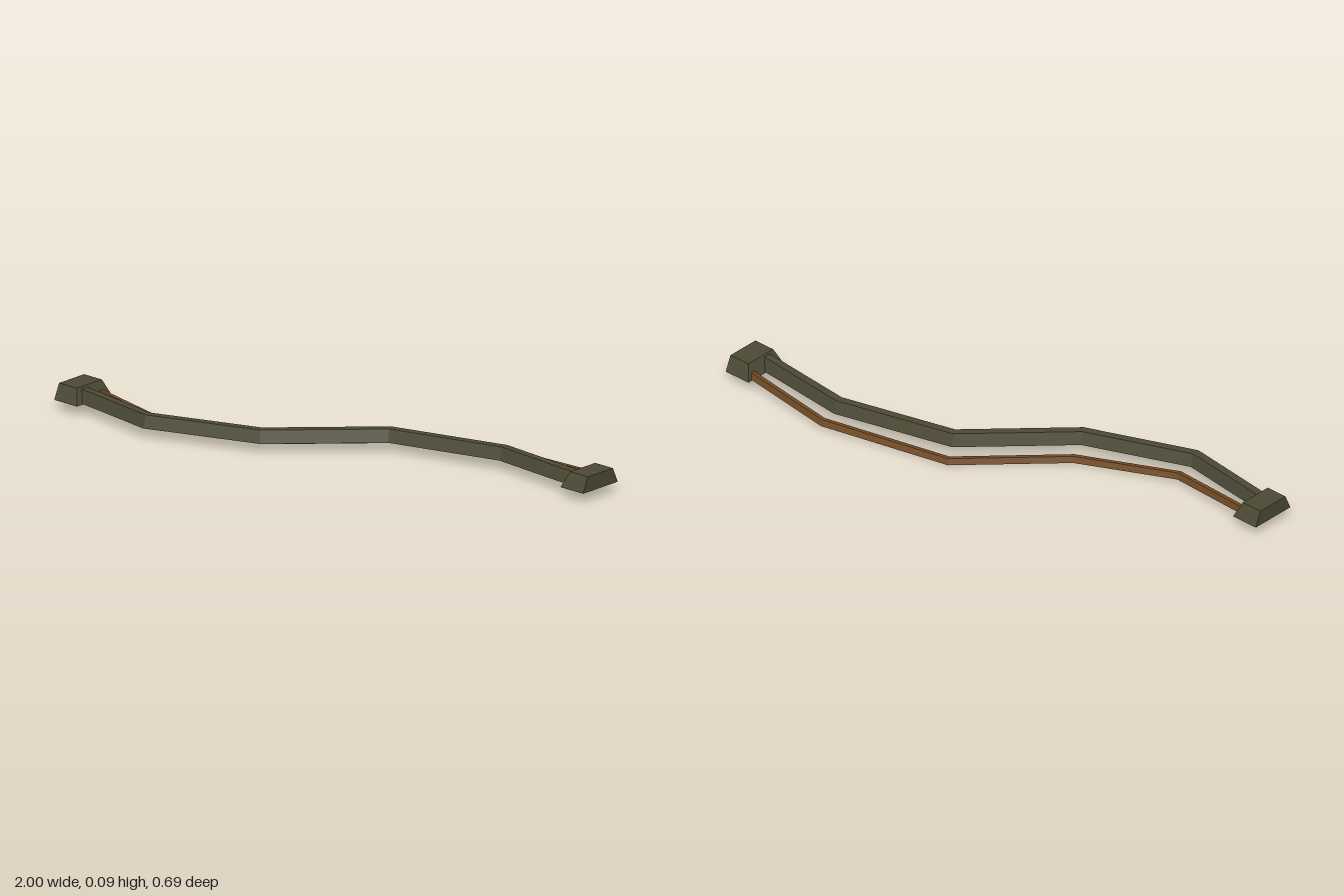
import * as THREE from 'three';

const olive = new THREE.MeshStandardMaterial({ color: 0x4d4b36, side: THREE.DoubleSide });
olive.name = 'olive';
const brown = new THREE.MeshStandardMaterial({ color: 0x734c26, side: THREE.DoubleSide });
brown.name = 'brown';

// Joins cross-section rings of equal length into a flat-shaded strip
function loft(rings, name, material) {
  const pos = [];
  for (let i = 0; i < rings.length - 1; i++) {
    for (let j = 0; j < rings[i].length - 1; j++) {
      const a = rings[i][j], b = rings[i + 1][j], c = rings[i + 1][j + 1], d = rings[i][j + 1];
      for (const p of [a, b, c, a, c, d]) pos.push(...p);
    }
  }
  const geo = new THREE.BufferGeometry();
  geo.setAttribute('position', new THREE.Float32BufferAttribute(pos, 3));
  geo.computeVertexNormals();
  const mesh = new THREE.Mesh(geo, material);
  mesh.name = name;
  return mesh;
}

// Trapezoid channel swept along [x, bottom y, z] points with mitred bends
function channel(path, wide, narrow, height, name, material) {
  const dir = (a, b) => new THREE.Vector2(b[0] - a[0], b[2] - a[2]).normalize();
  const rings = path.map((p, i) => {
    const before = dir(path[Math.max(i - 1, 0)], path[Math.max(i, 1)]);
    const k = Math.min(i, path.length - 2);
    const after = dir(path[k], path[k + 1]);
    const t = before.clone().add(after).normalize();
    const m = 1 / t.dot(after);
    const at = (s, h) => [p[0] - t.y * s * m, p[1] + h, p[2] + t.x * s * m];
    return [at(wide, 0), at(narrow, height), at(-narrow, height), at(-wide, 0)];
  });
  return loft(rings, name, material);
}

// Connector: a bevelled cap, open underneath; side is +1 or -1 along x
function connector(side, z, name) {
  const ring = (x0, x1, w, y) => {
    const pts = [[x0, y, z + w], [x1, y, z + w], [x1, y, z - w], [x0, y, z - w], [x0, y, z + w]];
    return side > 0 ? pts.reverse() : pts;
  };
  const outer = side, y0 = 0.035, y1 = 0.09;
  const low = ring(outer, side * 0.895, 0.087, y0);
  const high = ring(outer, side * 0.918, 0.063, y1);
  const centre = high.map(() => [side * 0.959, y1, z]);
  return loft([high, low].reverse().concat([centre]).map((r) => r.slice().reverse()).reverse(), name, olive);
}

export function createModel() {
  const model = new THREE.Group();

  // Thick cable
  model.add(channel([
    [-0.97, 0.038, 0.262], [-0.575, 0.035, 0.318], [-0.19, 0.032, 0.168],
    [0.125, 0.032, -0.138], [0.55, 0.035, -0.253], [0.97, 0.038, -0.212],
  ], 0.028, 0.014, 0.045, 'thickCable', olive));

  // Thin cable sagging below it
  model.add(channel([
    [-0.97, 0.042, 0.188], [-0.575, 0.015, 0.237], [-0.22, 0, 0.09],
    [0.085, 0, -0.208], [0.55, 0.015, -0.332], [0.97, 0.042, -0.295],
  ], 0.014, 0.007, 0.022, 'thinCable', brown));

  // End connectors
  model.add(connector(-1, 0.242, 'rightConnector'));
  model.add(connector(1, -0.246, 'leftConnector'));
  return model;
}
